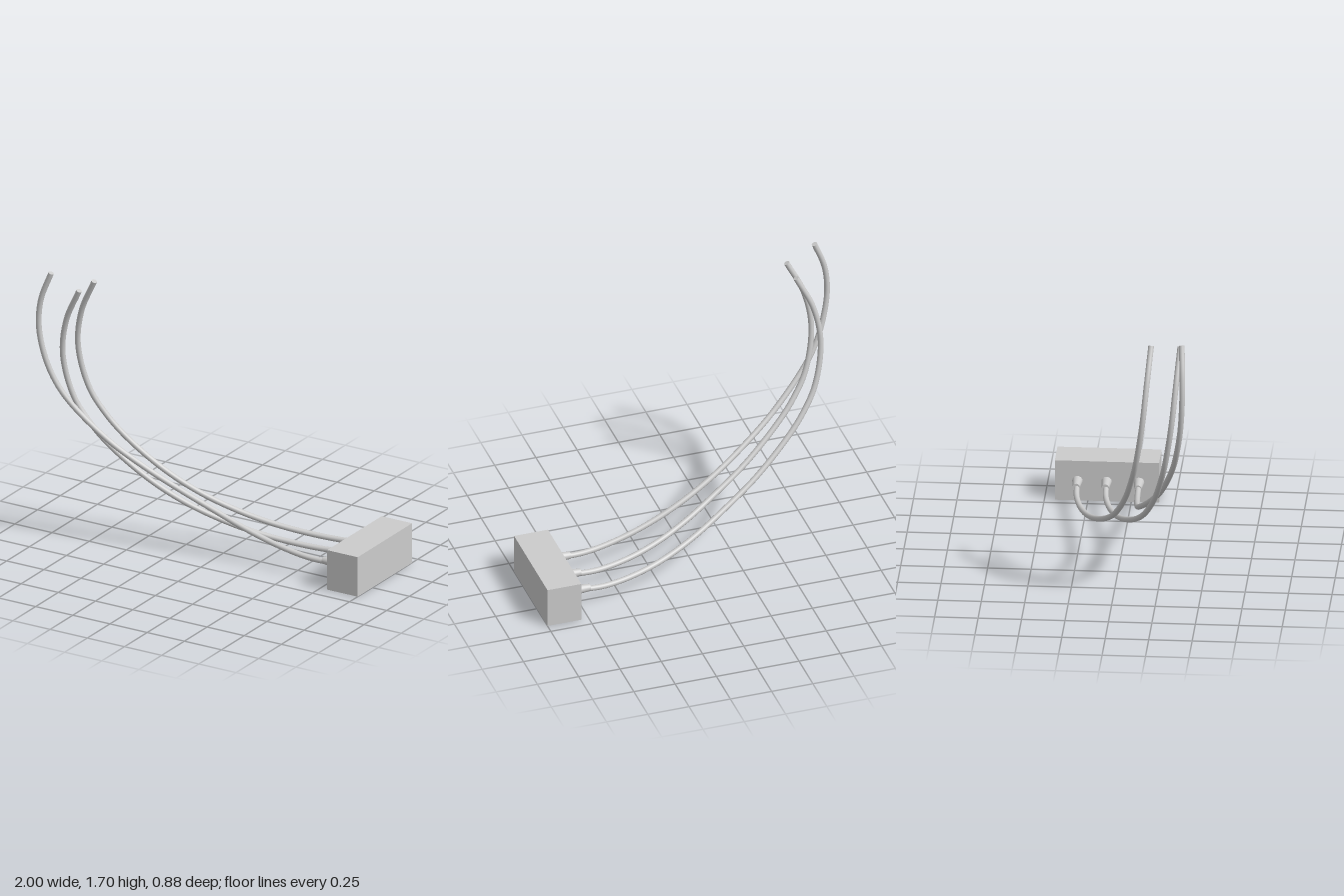
import * as THREE from 'three';

const material = new THREE.MeshStandardMaterial({ color: 0xcccccc });
const RADIUS = 0.0165;

function addMesh(parent, geometry, name, x = 0, y = 0, z = 0) {
  const mesh = new THREE.Mesh(geometry, material);
  mesh.name = name;
  mesh.position.set(x, y, z);
  parent.add(mesh);
  return mesh;
}

// One cable: tapered sleeve at the block, swept tube, flat cap on the free tip
function makeCable(points, name) {
  const cable = new THREE.Group();
  cable.name = name;
  const curve = new THREE.CatmullRomCurve3(points.map(p => new THREE.Vector3(...p)));
  addMesh(cable, new THREE.TubeGeometry(curve, 96, RADIUS, 16), 'tube');

  const cap = addMesh(cable, new THREE.CircleGeometry(RADIUS, 16), 'tipCap');
  cap.position.copy(curve.getPoint(1));
  cap.quaternion.setFromUnitVectors(new THREE.Vector3(0, 0, 1), curve.getTangent(1));

  const [, y, z] = points[0];
  const sleeve = addMesh(cable, new THREE.CylinderGeometry(0.021, 0.03, 0.095, 20), 'sleeve', 0.747, y + 0.004, z);
  sleeve.rotation.z = Math.PI / 2;
  return cable;
}

export function createModel() {
  const model = new THREE.Group();
  model.name = 'cableBlock';

  // Base block
  addMesh(model, new THREE.BoxGeometry(0.205, 0.245, 0.6), 'block', 0.8975, 0.1225, -0.14);

  // Two identical cables, side by side
  const shortPath = [
    [0.77, 0.118, -0.31], [0.6, 0.107, -0.3], [0.4, 0.12, -0.262], [0.2, 0.157, -0.205],
    [0, 0.222, -0.135], [-0.2, 0.315, -0.06], [-0.4, 0.437, 0.003], [-0.6, 0.605, 0.067],
    [-0.72, 0.74, 0.105], [-0.815, 0.905, 0.143], [-0.865, 1.17, 0.184], [-0.828, 1.4, 0.207],
    [-0.73, 1.61, 0.226],
  ];
  model.add(makeCable(shortPath, 'backCable'));
  model.add(makeCable(shortPath.map(([x, y, z]) => [x, y, z + 0.168]), 'middleCable'));

  // Longer cable with a wider bend
  const longPath = [
    [0.77, 0.118, 0.045], [0.6, 0.12, 0.05], [0.4, 0.157, 0.062], [0.2, 0.22, 0.08],
    [0, 0.305, 0.108], [-0.2, 0.405, 0.155], [-0.4, 0.525, 0.217], [-0.6, 0.67, 0.284],
    [-0.815, 0.888, 0.357], [-0.9, 1.02, 0.386], [-0.957, 1.18, 0.41], [-0.984, 1.355, 0.422],
    [-0.968, 1.52, 0.423], [-0.905, 1.69, 0.415],
  ];
  model.add(makeCable(longPath, 'frontCable'));

  return model;
}
